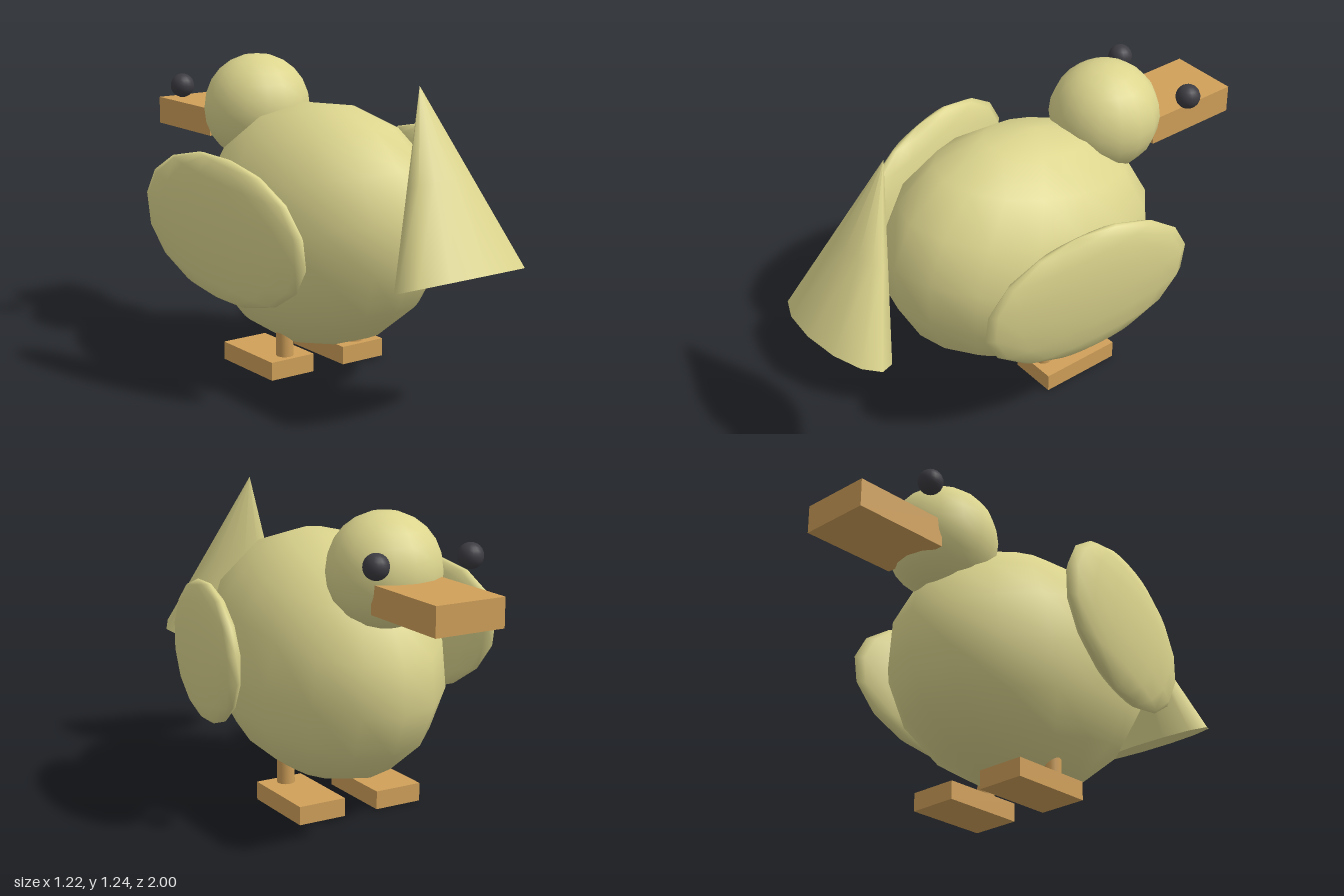
import * as THREE from 'three';

const paint = (name, color) => {
  const m = new THREE.MeshStandardMaterial({ color });
  m.name = name;
  return m;
};

export function createModel() {
  const duck = new THREE.Group();
  duck.name = 'duck';
  const plumage = paint('khaki plumage', 0xdcd58e);
  const orange = paint('orange beak and feet', 0xd0a05a);
  const dark = paint('dark eye', 0x3c3c42);

  const add = (name, geometry, material, position, rotation = [0, 0, 0]) => {
    const mesh = new THREE.Mesh(geometry, material);
    mesh.name = name;
    mesh.position.set(...position);
    mesh.rotation.set(...rotation);
    duck.add(mesh);
    return mesh;
  };
  const ellipsoid = (rx, ry, rz) => new THREE.SphereGeometry(1, 16, 8).scale(rx, ry, rz);

  // Plump body tipped up at the tail; the duck looks towards -z
  add('body', ellipsoid(0.43, 0.495, 0.613), plumage, [0, 0.595, 0], [-0.2, 0, 0]);
  add('head', new THREE.SphereGeometry(0.225, 16, 12), plumage, [0, 1.015, -0.445]);
  add('beak', new THREE.BoxGeometry(0.295, 0.115, 0.415), orange, [0, 0.943, -0.7925]);

  // Flattened cone tail
  const tail = new THREE.ConeGeometry(0.293, 0.727, 12, 2).scale(1, 1, 0.49);
  add('tail', tail, plumage, [0, 0.888, 0.742], [-0.345, 0, 0]);

  // Mirrored parts
  for (const [side, s] of [['left', 1], ['right', -1]]) {
    add(side + 'Eye', new THREE.SphereGeometry(0.05, 16, 12), dark, [s * 0.205, 1.092, -0.708]);
    add(side + 'Wing', ellipsoid(0.068, 0.286, 0.44), plumage, [s * 0.5, 0.652, 0.06], [0.2, s * -0.2, 0]);
    add(side + 'Leg', new THREE.CylinderGeometry(0.036, 0.036, 0.18, 12), orange, [s * 0.177, 0.15, 0.003]);
    add(side + 'Foot', new THREE.BoxGeometry(0.205, 0.075, 0.35), orange, [s * 0.177, 0.0375, -0.115]);
  }
  return duck;
}
